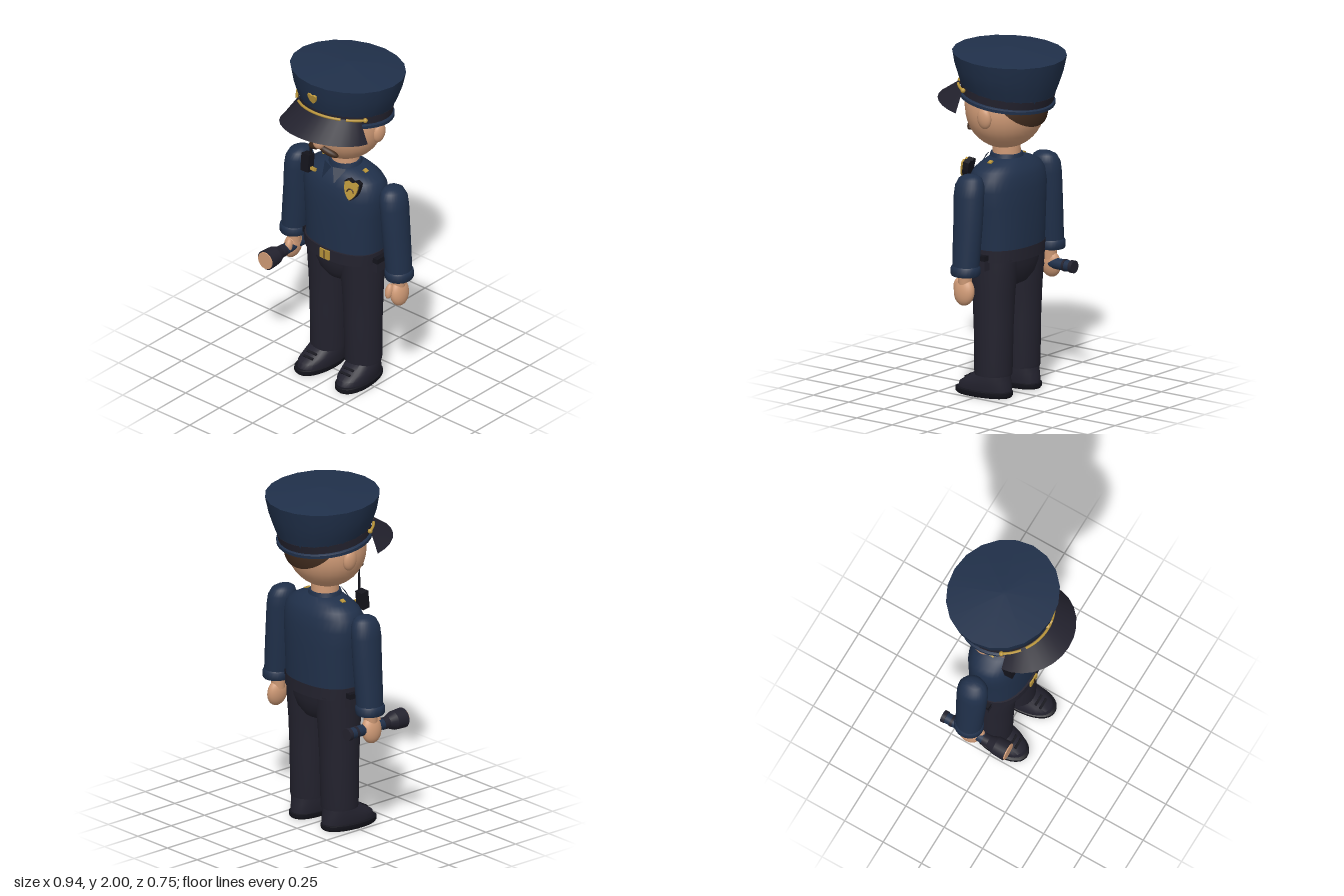
import * as THREE from 'three';
import { toCreasedNormals } from 'three/addons/utils/BufferGeometryUtils.js';

const material = (name, color, side = THREE.FrontSide) => {
  const m = new THREE.MeshStandardMaterial({ color, side });
  m.name = name;
  return m;
};

// Closed skin over horizontal rings [y, cx, cz, rx, rz, slope], bottom to top; power > 2 squares the rings.
function loft(rings, n = 28, power = 2, crease = 0.7) {
  const pos = [], idx = [], round = v => Math.sign(v) * Math.abs(v) ** (2 / power);
  for (const [y, cx, cz, rx, rz, slope = 0] of rings) {
    for (let j = 0; j < n; j++) {
      const t = (j / n) * Math.PI * 2, dz = rz * round(Math.cos(t));
      pos.push(cx + rx * round(Math.sin(t)), y + slope * dz, cz + dz);
    }
  }
  const last = rings.length - 1, c0 = pos.length / 3;
  for (const r of [rings[0], rings[last]]) pos.push(r[1], r[0], r[2]);
  for (let j = 0; j < n; j++) {
    const k = (j + 1) % n;
    for (let i = 0; i < last; i++) {
      const a = i * n + j, b = i * n + k;
      idx.push(a, b, b + n, a, b + n, a + n);
    }
    idx.push(c0, k, j, c0 + 1, last * n + j, last * n + k);
  }
  const g = new THREE.BufferGeometry();
  g.setAttribute('position', new THREE.Float32BufferAttribute(pos, 3));
  g.setIndex(idx);
  return toCreasedNormals(g, crease);
}

// Sheet between two edge curves
function sheet(lower, upper, n) {
  const pos = [], idx = [];
  for (let i = 0; i <= n; i++) pos.push(...lower(i / n), ...upper(i / n));
  for (let i = 0; i < n; i++) idx.push(2 * i, 2 * i + 2, 2 * i + 3, 2 * i, 2 * i + 3, 2 * i + 1);
  const g = new THREE.BufferGeometry();
  g.setAttribute('position', new THREE.Float32BufferAttribute(pos, 3));
  g.setIndex(idx);
  g.computeVertexNormals();
  return g;
}

const ball = (rx, ry, rz) => new THREE.SphereGeometry(1, 28, 20).scale(rx, ry, rz);

function shield(w, h, depth) {
  const s = new THREE.Shape();
  s.moveTo(0, -h / 2);
  s.quadraticCurveTo(w / 2, -h / 4, w / 2, h * 0.4);
  s.lineTo(w / 4, h / 2);
  s.lineTo(0, h * 0.4);
  s.lineTo(-w / 4, h / 2);
  s.lineTo(-w / 2, h * 0.4);
  s.quadraticCurveTo(-w / 2, -h / 4, 0, -h / 2);
  return new THREE.ExtrudeGeometry(s, { depth, bevelEnabled: false, curveSegments: 6 });
}

export function createModel() {
  const root = new THREE.Group();
  root.name = 'officer';
  const navy = material('navy cloth', 0x20304a);
  const dark = material('dark cloth', 0x23222e);
  const darkSheet = material('dark leather', 0x23222e, THREE.DoubleSide);
  const navySheet = material('navy collar', 0x1b2940, THREE.DoubleSide);
  const black = material('black', 0x14141c);
  const skin = material('skin', 0xcf9a76);
  const brown = material('brown hair', 0x3f2a1d);
  const gold = material('gold', 0xb8943a);
  const add = (name, geo, mat, x = 0, y = 0, z = 0, rx = 0, ry = 0, rz = 0) => {
    const m = new THREE.Mesh(geo, mat);
    m.name = name;
    m.position.set(x, y, z);
    m.rotation.set(rx, ry, rz);
    root.add(m);
    return m;
  };

  // Torso, belt and hips
  add('shirt', loft([
    [0.82, 0, -0.045, 0.245, 0.168], [0.95, 0, -0.045, 0.25, 0.172], [1.1, 0, -0.045, 0.26, 0.172],
    [1.2, 0, -0.045, 0.27, 0.168], [1.27, 0, -0.045, 0.262, 0.157], [1.31, 0, -0.045, 0.235, 0.14],
    [1.34, 0, -0.045, 0.18, 0.115], [1.365, 0, -0.045, 0.1, 0.09]], 36, 2.3));
  root.children[0].material = navy;
  add('belt', loft([[0.795, 0, -0.04, 0.25, 0.175], [0.865, 0, -0.04, 0.252, 0.175]], 36, 2.3), dark);
  add('buckle', new THREE.BoxGeometry(0.07, 0.058, 0.02), gold, 0, 0.83, 0.133);
  add('buckleBar', new THREE.BoxGeometry(0.008, 0.05, 0.006), brown, 0, 0.83, 0.142);
  add('hips', loft([
    [0.625, 0, -0.045, 0.03, 0.06], [0.65, 0, -0.045, 0.1, 0.11], [0.7, 0, -0.045, 0.175, 0.14],
    [0.76, 0, -0.045, 0.222, 0.155], [0.81, 0, -0.045, 0.24, 0.162]], 36, 2.2), dark);

  // Collar
  add('collarBand', loft([[1.34, 0, -0.04, 0.105, 0.1], [1.385, 0, -0.04, 0.09, 0.09]]), navy);
  for (const s of [-1, 1]) {
    const tip = [s * 0.045, 1.295, 0.112];
    add('collarPoint', sheet(t => tip, t => [s * (0.005 + t * 0.075), 1.37, 0.075 - t * 0.03], 1), navySheet);
  }

  for (const s of [-1, 1]) {
    const side = s > 0 ? 'left' : 'right';
    // Arm and hand
    add(side + 'Sleeve', loft([
      [0.78, s * 0.39, -0.05, 0.072, 0.078], [0.9, s * 0.38, -0.05, 0.075, 0.082],
      [1.05, s * 0.367, -0.05, 0.075, 0.088], [1.2, s * 0.357, -0.048, 0.075, 0.092],
      [1.26, s * 0.35, -0.048, 0.073, 0.088], [1.3, s * 0.343, -0.048, 0.058, 0.07],
      [1.316, s * 0.338, -0.048, 0.035, 0.045], [1.322, s * 0.335, -0.048, 0.01, 0.012]]), navy);
    add(side + 'Cuff', loft([
      [0.75, s * 0.392, -0.05, 0.074, 0.08], [0.76, s * 0.392, -0.05, 0.08, 0.086],
      [0.795, s * 0.39, -0.05, 0.08, 0.086], [0.805, s * 0.39, -0.05, 0.073, 0.08]]), navy);
    add(side + 'Wrist', new THREE.CylinderGeometry(0.042, 0.038, 0.08, 20), skin, s * 0.39, 0.725, -0.045);
    add(side + 'Hand', ball(0.042, 0.08, 0.066), skin, s * 0.397, 0.655, -0.045, 0, 0, s * 0.12);
    add(side + 'Thumb', ball(0.022, 0.045, 0.024), skin, s * 0.375, 0.68, 0.018, -0.25);
    // Leg
    add(side + 'Trouser', loft([
      [0.125, s * 0.128, -0.045, 0.103, 0.108], [0.14, s * 0.128, -0.045, 0.104, 0.11],
      [0.4, s * 0.126, -0.045, 0.107, 0.115], [0.6, s * 0.124, -0.045, 0.114, 0.125],
      [0.72, s * 0.122, -0.045, 0.116, 0.14], [0.81, s * 0.12, -0.045, 0.115, 0.15]]), dark);
    // Shoe
    add(side + 'Sole', loft([
      [0, 0, 0.01, 0.085, 0.17], [0.012, 0, 0.01, 0.094, 0.18],
      [0.032, 0, 0.01, 0.094, 0.18], [0.036, 0, 0.01, 0.088, 0.172]], 28, 2.2),
      black, s * 0.142, 0, 0, 0, s * 0.08);
    add(side + 'Shoe', loft([
      [0.034, 0, 0.006, 0.085, 0.168], [0.065, 0, 0.002, 0.09, 0.162], [0.09, 0, -0.015, 0.088, 0.14],
      [0.11, 0, -0.03, 0.086, 0.122], [0.14, 0, -0.048, 0.08, 0.1]], 28, 2.2),
      dark, s * 0.138, 0, 0, 0, s * 0.08);
    for (const i of [0, 1]) {
      add(side + 'Lace', new THREE.BoxGeometry(0.07, 0.008, 0.014), black, s * 0.138, 0.093 + i * 0.017, 0.12 - i * 0.03, 0.5);
    }
    // Belt pouch and shoulder pin
    add(side + 'Pouch', new THREE.BoxGeometry(0.05, 0.085, 0.1), dark, s * 0.25, 0.795, -0.045);
    add(side + 'PouchFlap', new THREE.BoxGeometry(0.058, 0.03, 0.106), black, s * 0.25, 0.825, -0.045);
    add(side + 'ShoulderPin', new THREE.BoxGeometry(0.025, 0.01, 0.025), gold, s * 0.15, 1.352, -0.04, 0, 0, -s * 0.4);
    // Ear, eye and moustache half
    add(side + 'Ear', ball(0.028, 0.062, 0.045), skin, s * 0.232, 1.625, -0.06, 0, 0, -s * 0.1);
    add(side + 'Eye', ball(0.04, 0.042, 0.022), skin, s * 0.083, 1.65, 0.165, 0, s * 0.35);
    add(side + 'Iris', ball(0.022, 0.027, 0.008), brown, s * 0.078, 1.65, 0.184, 0, s * 0.3);
    add(side + 'Moustache', ball(0.064, 0.022, 0.025), brown, s * 0.05, 1.53, 0.163, 0.1, s * 0.3, -s * 0.42);
  }

  // Head
  add('neck', new THREE.CylinderGeometry(0.078, 0.08, 0.12, 28), skin, 0, 1.395, -0.04);
  add('head', ball(0.235, 0.23, 0.22), skin, 0, 1.64, -0.03);
  add('nose', ball(0.036, 0.042, 0.035), skin, 0, 1.582, 0.186);
  const hair = new THREE.SphereGeometry(1, 32, 14, 0, Math.PI * 2, 0, Math.PI / 3).scale(0.243, 0.24, 0.24);
  add('hair', hair, brown, 0, 1.64, -0.03, -0.84);

  // Cap
  add('capCrown', loft([
    [1.75, 0, -0.05, 0.262, 0.26, 0.154], [1.81, 0, -0.052, 0.29, 0.28, 0.13],
    [1.88, 0, -0.056, 0.317, 0.3, 0.1], [1.963, 0, -0.06, 0.335, 0.315, 0.072],
    [1.998, 0, -0.05, 0.02, 0.02]], 20, 2, 0.6), navy);
  add('capBand', loft([
    [1.71, 0, -0.045, 0.265, 0.255, 0.154], [1.765, 0, -0.05, 0.268, 0.265, 0.154]], 32), dark);
  add('capRim', loft([
    [1.695, 0, -0.045, 0.278, 0.264, 0.154], [1.712, 0, -0.045, 0.278, 0.266, 0.154],
    [1.72, 0, -0.045, 0.266, 0.256, 0.154]], 32), navy);
  const visorLower = t => {
    const a = (t - 0.5) * Math.PI, z = 0.1 + 0.27 * Math.cos(a);
    return [0.288 * Math.sin(a), 1.64 + (z - 0.1) * 0.2, z];
  };
  const visorUpper = t => {
    const a = (t - 0.5) * 2.0, z = -0.05 + 0.268 * Math.cos(a);
    return [0.27 * Math.sin(a), 1.748 + 0.154 * (z + 0.05), z];
  };
  add('visor', sheet(visorLower, visorUpper, 14), darkSheet);

  // Cap cord, its buttons and the cap badge
  const cord = a => {
    const z = -0.05 + 0.28 * Math.cos(a);
    return new THREE.Vector3(0.28 * Math.sin(a), 1.75 + 0.154 * (z + 0.05), z);
  };
  for (const [from, to] of [[-1.1, -0.7], [-0.6, 0.6], [0.7, 1.1]]) {
    const pts = [0, 1, 2, 3, 4, 5, 6].map(i => cord(from + (to - from) * i / 6));
    add('capCord', new THREE.TubeGeometry(new THREE.CatmullRomCurve3(pts), 24, 0.008, 8), gold);
  }
  for (const a of [-1.1, 1.1]) add('cordButton', ball(0.014, 0.014, 0.014), gold, ...cord(a).toArray());
  add('capBadge', shield(0.062, 0.065, 0.015), gold, 0, 1.89, 0.232, 0.22);

  // Chest badge and name bar
  add('badgeBacking', shield(0.098, 0.125, 0.035), black, 0.17, 1.295, 0.082, -0.2, 0.25);
  add('chestBadge', shield(0.085, 0.112, 0.015), gold, 0.178, 1.302, 0.114, -0.2, 0.25);
  add('badgeCentre', new THREE.TorusGeometry(0.02, 0.004, 6, 16, Math.PI), brown, 0.182, 1.298, 0.131, -0.2, 0.25);
  add('nameBar', new THREE.BoxGeometry(0.05, 0.016, 0.02), gold, -0.135, 1.312, 0.088, -0.3, -0.2);

  // Shoulder radio
  add('radio', new THREE.BoxGeometry(0.055, 0.105, 0.05), black, -0.175, 1.34, 0.085, -0.15, 0, 0.05);
  add('radioAntenna', new THREE.CylinderGeometry(0.005, 0.007, 0.17, 8), black, -0.159, 1.45, 0.075);

  // Torch in the right hand, along z: [name, z0, z1, r0, r1, material]
  for (const [name, z0, z1, r0, r1, mat] of [
    ['torchTail', -0.222, -0.198, 0.036, 0.036, dark], ['torchGrip', -0.2, 0.08, 0.032, 0.032, navy],
    ['torchRing', -0.165, -0.15, 0.035, 0.035, dark], ['torchCollar', 0.045, 0.082, 0.035, 0.035, dark],
    ['torchCone', 0.08, 0.125, 0.036, 0.054, dark], ['torchHead', 0.125, 0.198, 0.054, 0.058, dark],
    ['torchLens', 0.196, 0.205, 0.051, 0.051, skin]]) {
    add(name, new THREE.CylinderGeometry(r1, r0, z1 - z0, 24), mat, -0.387, 0.662, (z0 + z1) / 2, Math.PI / 2);
  }
  return root;
}
